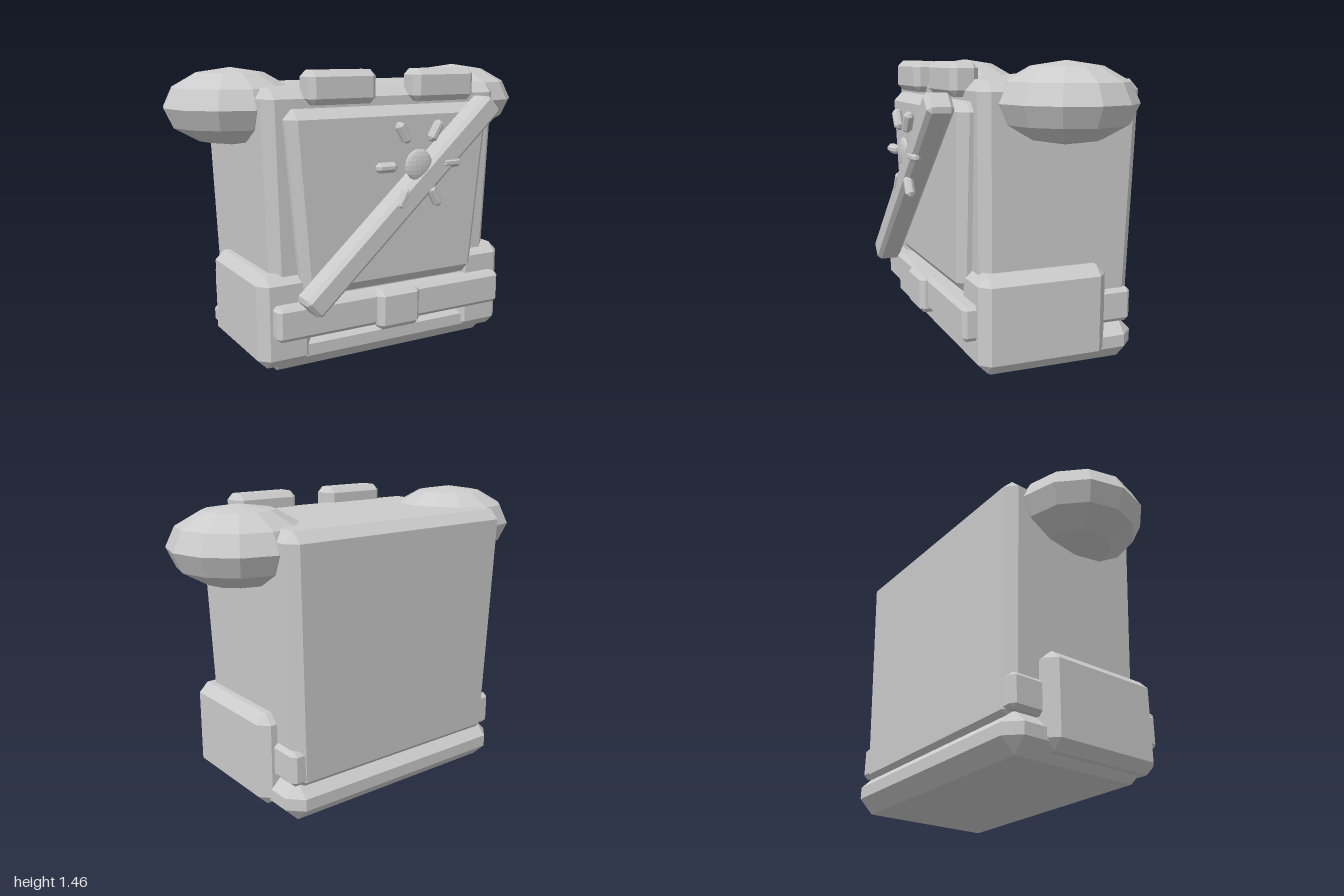
import * as THREE from 'three';
import { ConvexGeometry } from 'three/addons/geometries/ConvexGeometry.js';

const material = new THREE.MeshStandardMaterial({ color: 0xcccccc, flatShading: true });

// Box with chamfered edges and corners; the bottom may be tapered in x and z.
function chamferBox(w, h, d, c, taperX = 1, taperZ = 1) {
  const x = w / 2, y = h / 2, z = d / 2, points = [];
  for (const sx of [-1, 1]) for (const sy of [-1, 1]) for (const sz of [-1, 1]) {
    for (const [px, py, pz] of [[x, y - c, z - c], [x - c, y, z - c], [x - c, y - c, z]]) {
      const t = (y - sy * py) / h;
      points.push(new THREE.Vector3(
        sx * px * (1 + (taperX - 1) * t), sy * py, sz * pz * (1 + (taperZ - 1) * t)));
    }
  }
  return new ConvexGeometry(points);
}

export function createModel() {
  const model = new THREE.Group();
  model.name = 'torsoArmour';

  function add(name, geometry, x, y, z, roll = 0) {
    const mesh = new THREE.Mesh(geometry, material);
    mesh.name = name;
    mesh.position.set(x, y, z);
    mesh.rotation.z = roll;
    model.add(mesh);
    return mesh;
  }

  // Trunk, hip block and belt
  add('body', chamferBox(1.33, 1.22, 0.82, 0.05, 0.935, 0.94), 0, 0.76, -0.1);
  add('hipBase', chamferBox(1.34, 0.2, 0.82, 0.07), 0, 0.1, -0.1);
  add('belt', chamferBox(1.3, 0.17, 0.875, 0.02), 0, 0.275, -0.047);
  add('buckle', chamferBox(0.24, 0.2, 0.105, 0.025), 0, 0.27, 0.377);

  // Tapered chest plate
  add('chestPlate', chamferBox(1.16, 0.9, 0.21, 0.047, 0.85, 0.82), 0, 0.825, 0.27);

  // Mirrored hip pouches, shoulder pads and top clasps
  for (const [side, s] of [['left', 1], ['right', -1]]) {
    add(side + 'Pouch', chamferBox(0.285, 0.465, 0.65, 0.048), s * 0.57, 0.268, 0);
    const pad = add(side + 'ShoulderPad', new THREE.SphereGeometry(0.335, 12, 6), s * 0.665, 1.268, -0.102);
    pad.scale.set(1, 0.565, 0.98);
    add(side + 'Clasp', chamferBox(0.36, 0.16, 0.14, 0.03), s * 0.285, 1.37, 0.305);
  }

  // Diagonal chest strap
  add('chestStrap', chamferBox(1.376, 0.12, 0.13, 0.02), -0.012, 0.82, 0.44, 0.735);

  // Sun emblem: flattened disc and six rays
  const disc = add('emblemDisc', new THREE.SphereGeometry(0.077, 16, 10), 0.053, 1.0, 0.485);
  disc.scale.z = 0.28;
  const ray = chamferBox(0.11, 0.048, 0.048, 0.016);
  for (let i = 0; i < 6; i++) {
    const a = i * Math.PI / 3;
    add('emblemRay', ray, 0.053 + 0.183 * Math.cos(a), 1 + 0.183 * Math.sin(a), 0.487, a);
  }
  return model;
}
